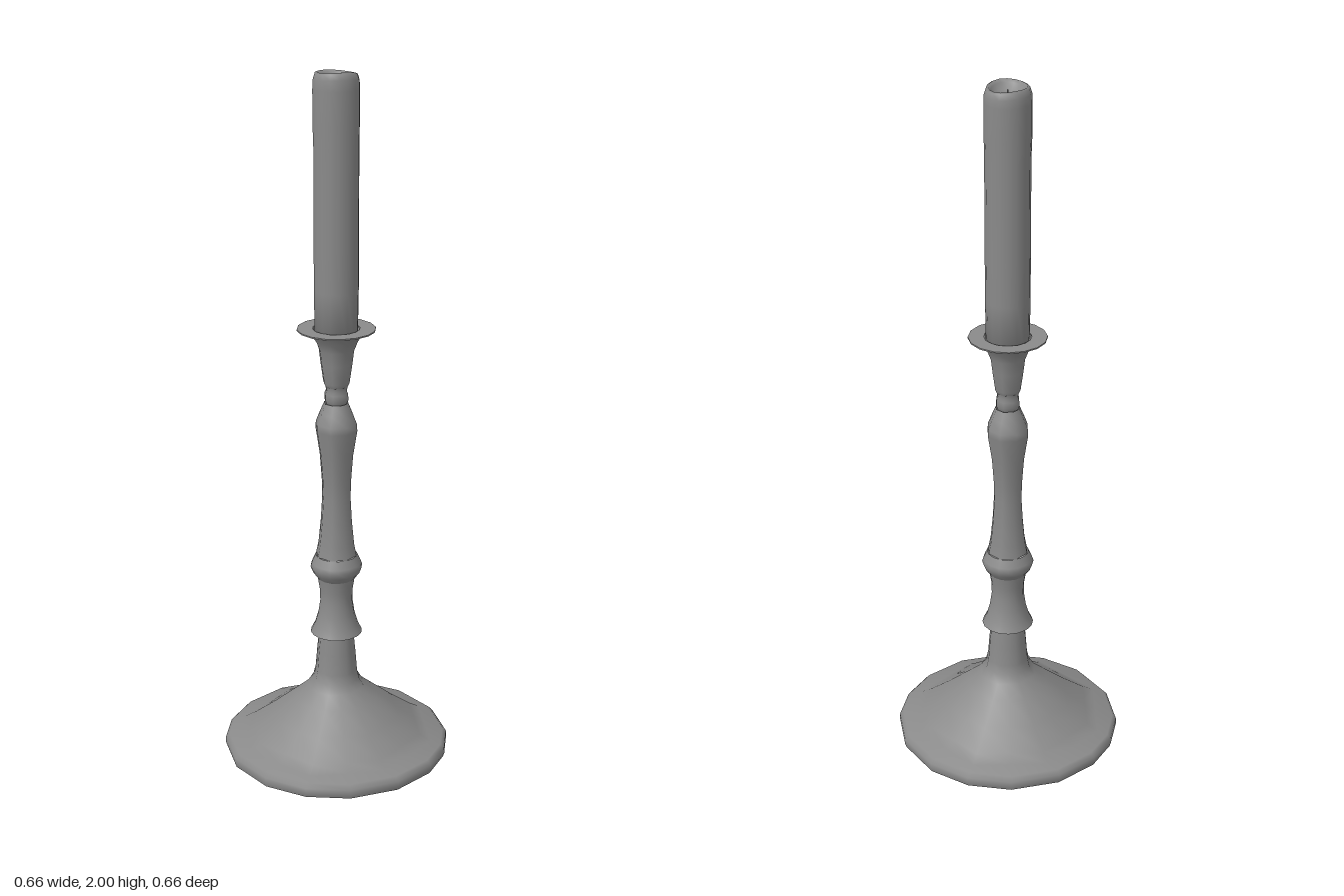
import * as THREE from 'three';

const material = new THREE.MeshStandardMaterial({ color: 0x8a8a8a, side: THREE.DoubleSide });

// Revolves [radius, height] pairs, listed from bottom to top
function turned(name, sides, profile) {
  const points = profile.map(([r, y]) => new THREE.Vector2(r, y));
  const mesh = new THREE.Mesh(new THREE.LatheGeometry(points, sides), material);
  mesh.name = name;
  return mesh;
}

// Applies rule(angle, radius, height) => [angle, radius, height] to every vertex, keeping smooth normals
function reshape(mesh, rule) {
  const p = mesh.geometry.attributes.position;
  for (let i = 0; i < p.count; i++) {
    const [a, r, y] = rule(Math.atan2(p.getX(i), p.getZ(i)), Math.hypot(p.getX(i), p.getZ(i)), p.getY(i));
    p.setXYZ(i, r * Math.sin(a), y, r * Math.cos(a));
  }
  return mesh;
}

// Foot: the sixteen corners of the rim are unevenly spaced, the cone narrows to an octagon
const cornerShift = [0, 0, 0.05, 0.068, 0];
function shapeFoot(a, r, y) {
  const step = Math.round(Math.abs(a) / (Math.PI / 8));
  if (r > 0.3) {
    const shift = step > 4 ? -cornerShift[8 - step] : cornerShift[step];
    return [a + Math.sign(a) * shift, r, y];
  }
  return [a, step % 2 ? r * Math.cos(Math.PI / 8) : r, y];
}

// Candle: wax runs down the side and a rim slightly higher at the front
const waxRuns = [
  { angle: -Math.PI / 2, bottom: 1.82 },
  { angle: Math.PI * 0.97, bottom: 1.54 },
  { angle: 0.9, bottom: 1.7 },
];
function shapeCandle(a, r, y) {
  let swell = 0;
  for (const { angle, bottom } of waxRuns) {
    if (r > 0.05 && y > bottom) swell += 0.002 * Math.max(0, Math.cos(a - angle)) ** 8;
  }
  const wave = y > 1.96 && r > 0.03 ? 0.004 * Math.cos(a) + 0.002 * Math.sin(2 * a) : 0;
  return [a, r + swell, y + wave];
}

export function createModel() {
  const group = new THREE.Group();
  group.name = 'candlestick';

  // Foot: flat underside, rounded rim and flared cone
  group.add(
    reshape(turned('footUnderside', 16, [[0, 0], [0.326, 0]]), shapeFoot),
    reshape(turned('foot', 16, [[0.326, 0], [0.33, 0.012], [0.329, 0.028], [0.318, 0.04], [0.288, 0.045],
      [0.255, 0.064], [0.19, 0.112], [0.125, 0.165], [0.085, 0.198],
      [0.07, 0.222], [0.063, 0.25], [0.058, 0.31], [0.052, 0.368]]), shapeFoot),
  );

  // Stem: collars and waisted sections, split where the edges are sharp
  group.add(
    turned('lowerCollarUnderside', 16, [[0.048, 0.364], [0.075, 0.371]]),
    turned('lowerCollar', 16, [[0.075, 0.371], [0.063, 0.395], [0.053, 0.43], [0.047, 0.47], [0.048, 0.505], [0.054, 0.542]]),
    turned('knop', 16, [[0.054, 0.542], [0.068, 0.56], [0.075, 0.578], [0.071, 0.59], [0.06, 0.614]]),
    turned('stem', 8, [[0.06, 0.614], [0.053, 0.65], [0.046, 0.72], [0.042, 0.79], [0.043, 0.84],
      [0.049, 0.92], [0.061, 0.995], [0.06, 1.015], [0.048, 1.045], [0.035, 1.075]]),
    turned('neckRing', 8, [[0.03, 1.072], [0.035, 1.085], [0.034, 1.102], [0.03, 1.112], [0.033, 1.125]]),
  );

  // Candle cup, with its thin drip pan
  group.add(
    turned('cup', 8, [[0.032, 1.122], [0.038, 1.135], [0.046, 1.19], [0.051, 1.23], [0.062, 1.258], [0.082, 1.287]]),
    turned('dripPanUnderside', 16, [[0.067, 1.287], [0.11, 1.287]]),
    turned('dripPanEdge', 16, [[0.11, 1.287], [0.11, 1.291]]),
    turned('dripPan', 16, [[0.11, 1.291], [0.066, 1.291]]),
    turned('cupBore', 8, [[0.068, 1.291], [0.058, 1.25], [0, 1.25]]),
  );

  // Candle and wick
  group.add(
    reshape(turned('candle', 16, [
      [0, 1.27], [0.06, 1.27], [0.062, 1.4], [0.062, 1.52], [0.062, 1.58], [0.062, 1.8],
      [0.063, 1.86], [0.063, 1.95], [0.062, 1.975], [0.057, 1.991], [0.051, 1.994],
      [0.045, 1.986], [0.035, 1.972], [0.02, 1.965], [0, 1.963],
    ]), shapeCandle),
    turned('wick', 6, [[0.002, 1.96], [0.002, 1.984], [0, 1.985]]),
  );
  return group;
}
